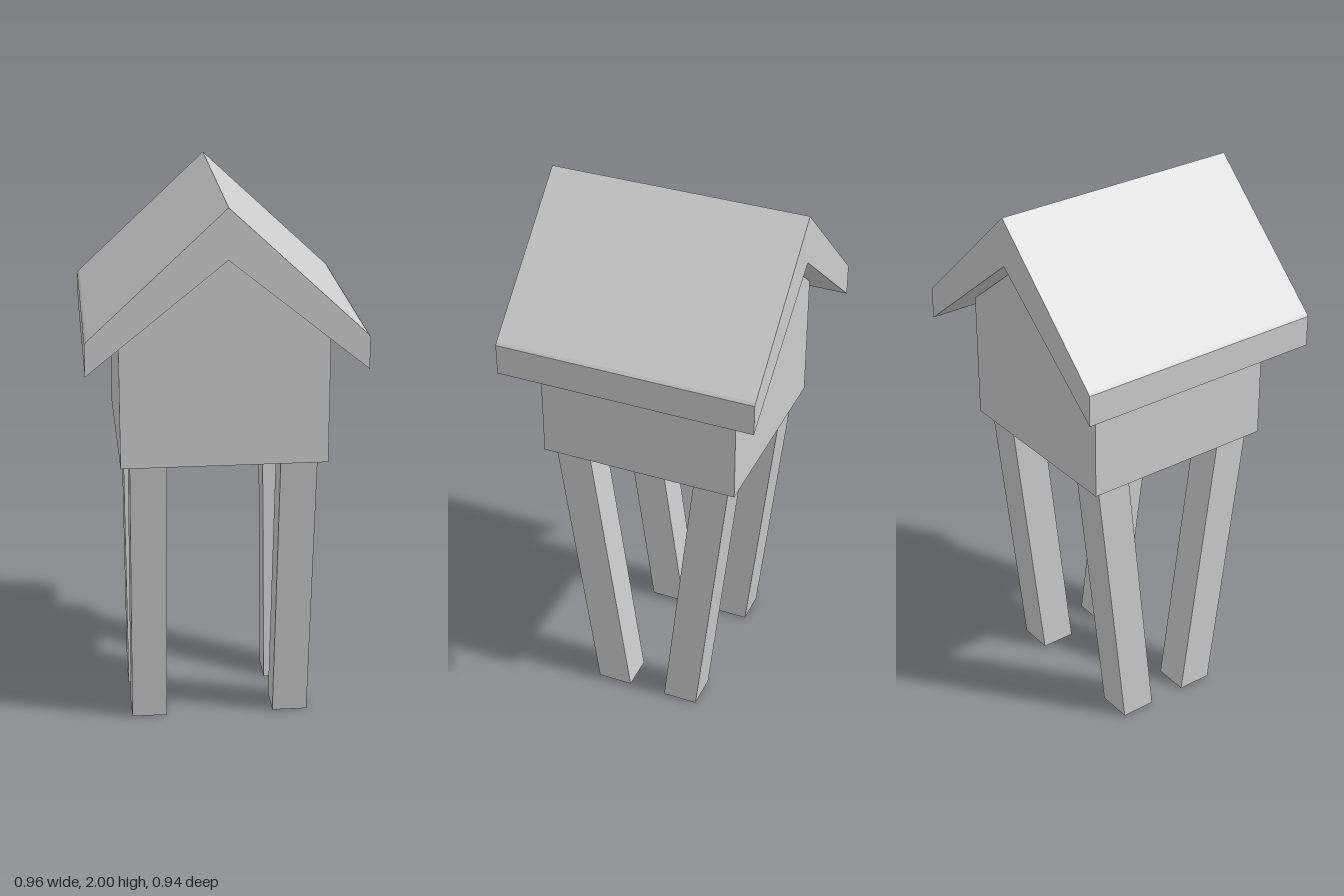
import * as THREE from 'three';

const material = new THREE.MeshStandardMaterial({ color: 0xcccccc, flatShading: true });

// Extrudes an x/y outline between two z positions
function prism(name, points, zBack, zFront) {
  const shape = new THREE.Shape(points.map(([x, y]) => new THREE.Vector2(x, y)));
  const geometry = new THREE.ExtrudeGeometry(shape, { depth: zFront - zBack, bevelEnabled: false });
  geometry.translate(0, 0, zBack);
  const mesh = new THREE.Mesh(geometry, material);
  mesh.name = name;
  return mesh;
}

// Square post sheared in z, so its foot and top stay level
function leg(name, x, zFoot, zTop) {
  const height = 1.07, width = 0.13;
  const geometry = new THREE.BoxGeometry(width, height, width);
  geometry.translate(x, height / 2, 0);
  const pos = geometry.attributes.position;
  for (let i = 0; i < pos.count; i++) {
    pos.setZ(i, pos.getZ(i) + THREE.MathUtils.lerp(zFoot, zTop, pos.getY(i) / height));
  }
  geometry.computeVertexNormals();
  const mesh = new THREE.Mesh(geometry, material);
  mesh.name = name;
  return mesh;
}

export function createModel() {
  const group = new THREE.Group();
  group.name = 'stiltHouse';

  // Gabled house body, tucked just under the roof
  group.add(prism('houseBody', [
    [-0.363, 1.065], [0.363, 1.065], [0.363, 1.53], [0, 1.823], [-0.363, 1.53],
  ], -0.363, 0.363));

  // Overhanging roof with upright eaves
  group.add(prism('roof', [
    [0, 2], [-0.472, 1.56], [-0.48, 1.55], [-0.48, 1.437],
    [0, 1.825], [0.48, 1.437], [0.48, 1.55], [0.472, 1.56],
  ], -0.47, 0.467));

  // Four legs leaning inward toward the ground
  for (const side of [1, -1]) {
    const label = side > 0 ? 'Left' : 'Right';
    group.add(leg('front' + label + 'Leg', side * 0.265, 0.125, 0.268));
    group.add(leg('back' + label + 'Leg', side * 0.265, -0.147, -0.265));
  }
  return group;
}
